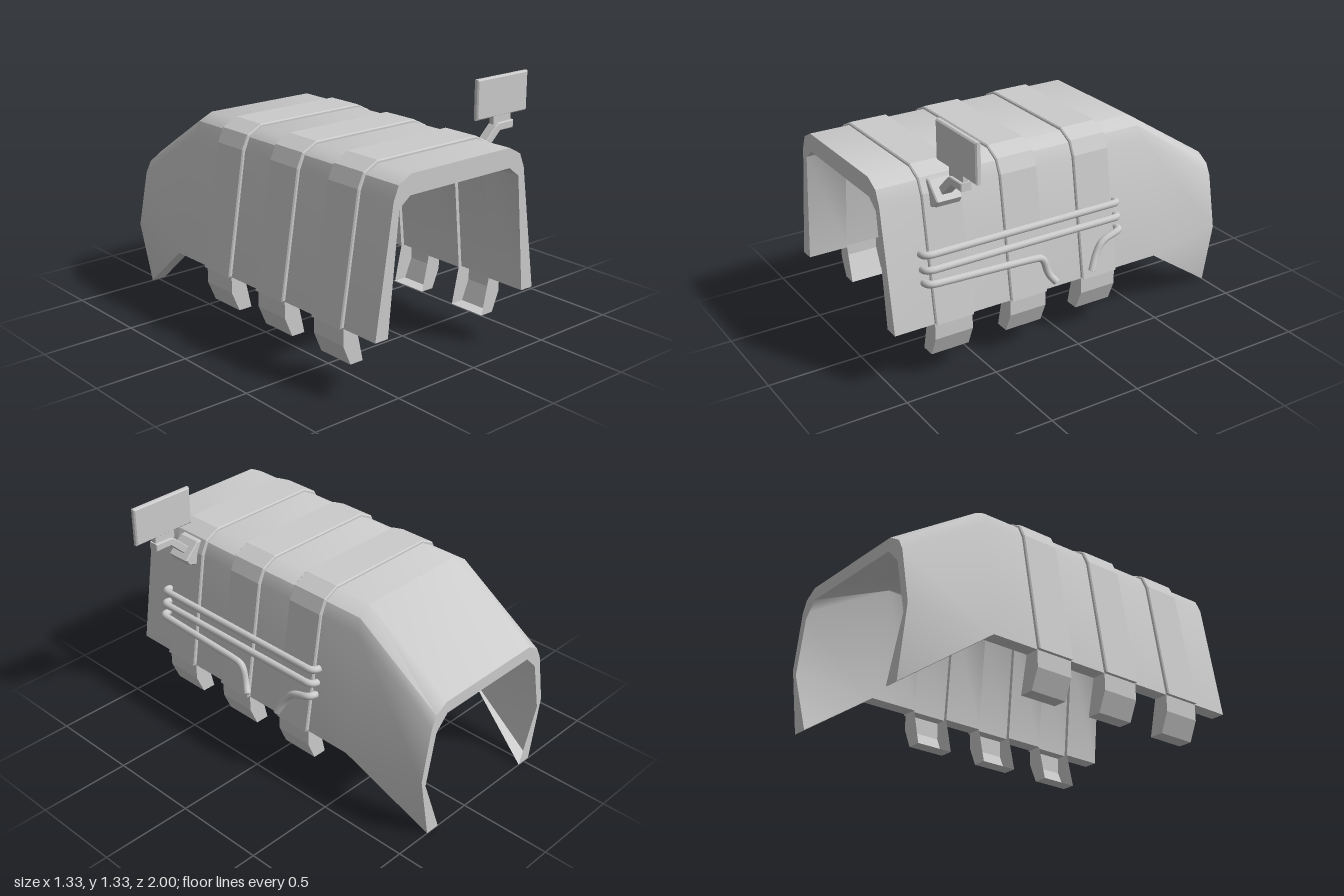
import * as THREE from 'three';
import { toCreasedNormals } from 'three/addons/utils/BufferGeometryUtils.js';

const CX = -0.123; // centre line of the arch
const BANDS = [0.678, 0.248, -0.183]; // z of the raised bands
const BAND_WIDTH = 0.21;
const material = new THREE.MeshStandardMaterial({ color: 0xcccccc, side: THREE.DoubleSide });

function addMesh(parent, name, geometry) {
  const mesh = new THREE.Mesh(geometry, material);
  mesh.name = name;
  parent.add(mesh);
  return mesh;
}

// Half profile [offset, y, z], right foot to crown, mirrored into a full arch line
function arch(half, z) {
  const right = half.map(([o, y, pz = z]) => [CX + o, y, pz]);
  const left = half.map(([o, y, pz = z]) => [CX - o, y, pz]).reverse();
  return [...right, ...left];
}

// Quads between two lines of equal length
function skin(out, a, b) {
  for (let k = 0; k < a.length - 1; k++) {
    out.push(...a[k], ...a[k + 1], ...b[k + 1], ...a[k], ...b[k + 1], ...b[k]);
  }
}

function creased(positions, angle) {
  const g = new THREE.BufferGeometry();
  g.setAttribute('position', new THREE.Float32BufferAttribute(positions, 3));
  return toCreasedNormals(g, angle);
}

function shellGeometry() {
  const outer = [[0.527, 0.318], [0.527, 0.318], [0.426, 0.96], [0.396, 1.03], [0.322, 1.07]];
  const inner = [[0.45, 0.318], [0.45, 0.318], [0.391, 0.918], [0.387, 0.923], [0.325, 0.97]];
  const groove = [[0.47, 0.318], [0.47, 0.318], [0.411, 0.93], [0.406, 0.94], [0.335, 0.99]];
  const bendZ = [-0.55, -0.55, -0.52, -0.51, -0.5];
  const atBend = (half) => half.map(([o, y], i) => [o, y, bendZ[i]]);
  const o0 = arch(outer, 1), o1 = arch(atBend(outer));
  // Inner lines step outward behind each band
  const lines = [arch(inner, 1)];
  for (const z of BANDS) {
    const a = z + BAND_WIDTH / 2, b = z - BAND_WIDTH / 2;
    lines.push(arch(inner, a), arch(groove, a), arch(groove, b), arch(inner, b));
  }
  lines.push(arch(atBend(inner)));
  const i1 = lines[lines.length - 1];
  // Rear end: the skin thins out and finishes in a flat rim
  const o2 = arch([[0.417, 0], [0.481, 0.355], [0.425, 0.645], [0.395, 0.705], [0.325, 0.748]], -1);
  const r2 = arch([[0.335, 0], [0.45, 0.318], [0.391, 0.595], [0.381, 0.612], [0.313, 0.68]], -1);
  const p = [];
  skin(p, o1, o0);
  skin(p, o2, o1);
  for (let i = 0; i < lines.length - 1; i++) skin(p, lines[i], lines[i + 1]);
  skin(p, i1, o2);
  skin(p, o0, lines[0]);
  skin(p, r2, o2);
  // Lower edges
  const n = o0.length - 1;
  for (const k of [0, n]) {
    const inside = [...lines.map((l) => l[k]), r2[k]];
    const outside = [...inside.slice(0, -2).map((q) => [o0[k][0], o0[k][1], q[2]]), o1[k], o2[k]];
    if (k === 0) skin(p, inside, outside);
    else skin(p, outside, inside);
  }
  return creased(p, 0.65);
}

// Hooked foot: outer wall, floor and both cheeks, open toward the inside
function footGeometry(side, z) {
  const outline = [[0.45, 0.32], [0.406, 0.125], [0.482, 0.125], [0.527, 0.23], [0.527, 0.32]];
  const at = (pz) => outline.map(([o, y]) => [CX + side * o, y, pz]);
  const a = at(z + BAND_WIDTH / 2), b = at(z - BAND_WIDTH / 2);
  const [front, back] = side > 0 ? [a, b] : [b, a];
  const p = [];
  skin(p, back.slice(1), front.slice(1));
  for (let k = 1; k < 4; k++) {
    p.push(...front[0], ...front[k], ...front[k + 1]);
    p.push(...back[0], ...back[k + 1], ...back[k]);
  }
  return creased(p, 0.2);
}

// Flat outline pulled along z around a centre, with an optional small bevel
function plate(points, z, depth, bevel = 0) {
  const shape = new THREE.Shape(points.map(([x, y]) => new THREE.Vector2(x, y)));
  const g = new THREE.ExtrudeGeometry(shape, {
    depth: depth - 2 * bevel, bevelEnabled: bevel > 0, bevelSegments: 1,
    bevelSize: bevel, bevelThickness: bevel, bevelOffset: -bevel,
  });
  return g.translate(0, 0, z - depth / 2 + bevel);
}

// Path with rounded corners
function roundedPath(points, r) {
  const v = points.map((q) => new THREE.Vector3(...q));
  const path = new THREE.CurvePath();
  let from = v[0];
  for (let i = 1; i < v.length - 1; i++) {
    const toward = (t) => {
      const d = t.clone().sub(v[i]);
      return v[i].clone().addScaledVector(d.normalize(), Math.min(r, t.distanceTo(v[i]) * 0.48));
    };
    const a = toward(v[i - 1]), b = toward(v[i + 1]);
    path.add(new THREE.LineCurve3(from, a));
    path.add(new THREE.QuadraticBezierCurve3(a, v[i], b));
    from = b;
  }
  path.add(new THREE.LineCurve3(from, v[v.length - 1]));
  return path;
}

function addPipe(parent, name, points, looseEnd) {
  const path = roundedPath(points, 0.045);
  addMesh(parent, name, new THREE.TubeGeometry(path, 120, 0.019, 12));
  if (looseEnd) {
    const cap = addMesh(parent, name + 'Cap', new THREE.CircleGeometry(0.019, 12));
    const end = path.getPoint(1);
    cap.position.copy(end);
    cap.lookAt(end.clone().add(path.getTangent(1)));
  }
}

export function createModel() {
  const model = new THREE.Group();
  model.name = 'armouredCover';
  addMesh(model, 'shell', shellGeometry());

  // Raised bands with a hooked foot on each side
  const bandOuter = arch([[0.546, 0.318], [0.441, 0.97], [0.406, 1.043], [0.322, 1.085]], 0);
  const bandInner = arch([[0.5, 0.318], [0.42, 0.95], [0.385, 1.01], [0.315, 1.04]], 0).reverse();
  for (const z of BANDS) {
    addMesh(model, 'band', plate([...bandOuter, ...bandInner], z, BAND_WIDTH + 0.004, 0.006));
    for (const side of [1, -1]) addMesh(model, 'bandFoot', footGeometry(side, z));
  }

  // Pipes along the left wall, sloping slightly into it
  const pipes = new THREE.Group();
  pipes.name = 'pipes';
  model.add(pipes);
  for (const [y, x] of [[0.69, 0.395], [0.614, 0.407]]) {
    addPipe(pipes, 'longPipe', [[x - 0.07, y - 0.012, 0.818], [x, y, 0.818],
      [x, y, -0.31], [x - 0.07, y - 0.012, -0.31]]);
  }
  addPipe(pipes, 'frontHose', [[0.35, 0.535, 0.818], [0.42, 0.547, 0.818], [0.422, 0.525, 0.24],
    [0.424, 0.518, 0.17], [0.428, 0.42, 0.145], [0.452, 0.375, 0.11]], true);
  addPipe(pipes, 'rearHose', [[0.35, 0.535, -0.31], [0.42, 0.547, -0.31], [0.422, 0.512, -0.19],
    [0.428, 0.45, -0.15], [0.452, 0.372, -0.11]], true);

  // Screen on a cranked arm
  const display = new THREE.Group();
  display.name = 'display';
  model.add(display);
  const z = 0.678;
  addMesh(display, 'mount', plate([[0.275, 1.035], [0.313, 1.033], [0.397, 0.95], [0.377, 0.918],
    [0.325, 0.9], [0.285, 0.95]], z, 0.137, 0.006));
  addMesh(display, 'arm', plate([[0.325, 0.985], [0.425, 1.08], [0.445, 1.092], [0.552, 1.094],
    [0.552, 1.052], [0.457, 1.052], [0.36, 0.96]], z, 0.058, 0.004));
  addMesh(display, 'neck', plate([[0.42, 1.085], [0.545, 1.085], [0.545, 1.13], [0.42, 1.13]], z, 0.028));
  addMesh(display, 'screen', plate([[0.3, 1.122], [0.665, 1.122], [0.665, 1.328], [0.3, 1.328]], z, 0.03, 0.007));
  return model;
}
